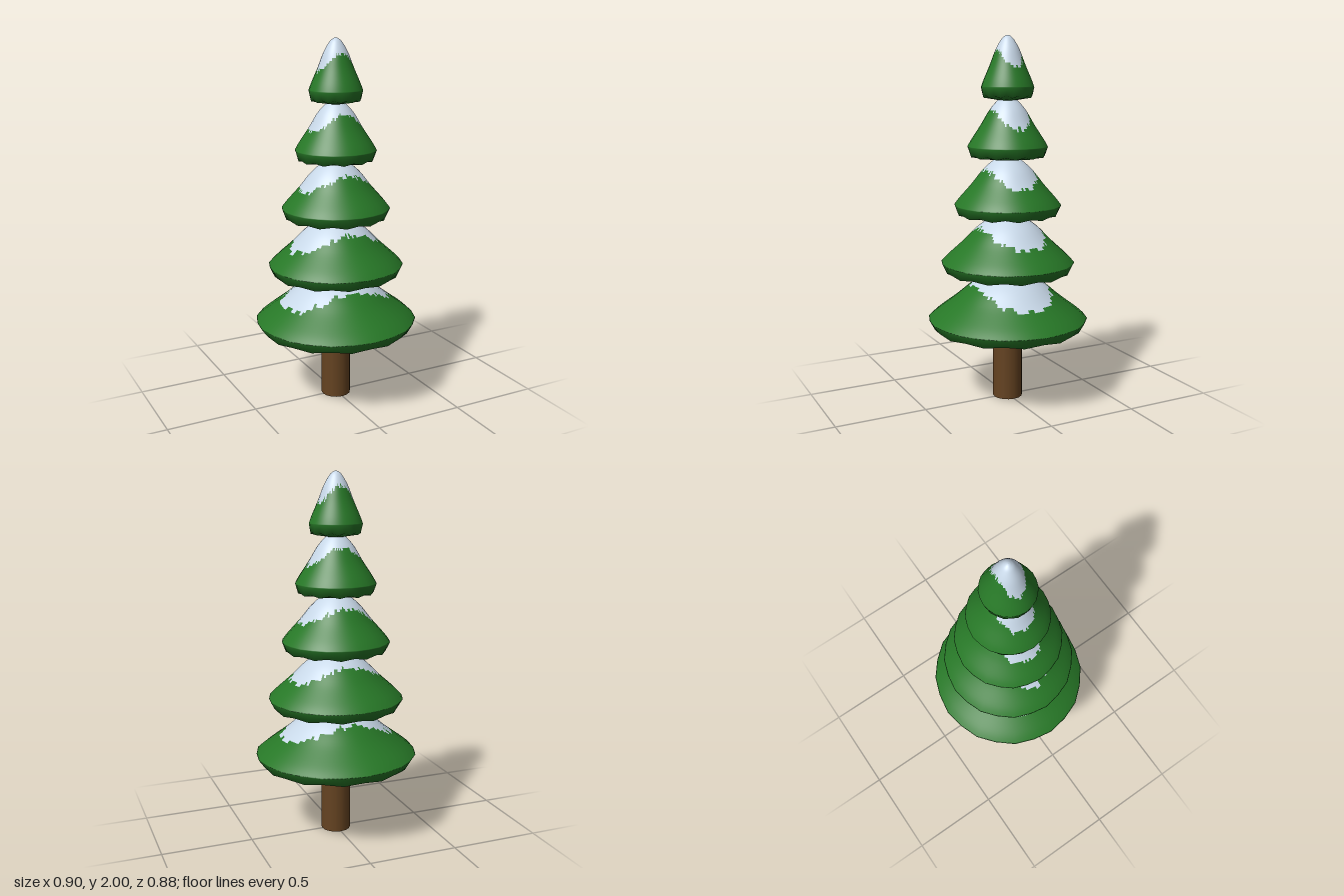
import * as THREE from 'three';

const SIDES = 24;          // facets around each tier
const SPLIT = 5;           // columns per facet, for the ragged snow edge
const COLS = SIDES * SPLIT;

// Unit profile of one tier (radius, height): shallow cone underneath, domed on top
const dome = new THREE.SplineCurve([
  [1, 0.22], [0.9, 0.33], [0.67, 0.55], [0.45, 0.78], [0.24, 0.93], [0.1, 0.985], [0, 1],
].map(([r, y]) => new THREE.Vector2(r, y)));
const underside = [[0, 0], [0.5, 0.035], [0.93, 0.08]].map(([r, y]) => new THREE.Vector2(r, y));
const profile = [...underside, ...dome.getPoints(36)];

function seeded(seed) {
  let s = seed;
  return () => (s = (s * 16807) % 2147483647) / 2147483647;
}

// One tier: round grid for smooth normals, then pulled in to a slightly uneven 24-gon
function tierGeometry(radius, base, height, rand) {
  const positions = [];
  for (const p of profile) {
    for (let i = 0; i < COLS; i++) {
      const a = (i / COLS) * Math.PI * 2;
      positions.push(Math.cos(a) * p.x * radius, base + p.y * height, Math.sin(a) * p.x * radius * 0.98);
    }
  }

  // Snow lies over an oval with a ragged edge, reaching lowest on the left and right
  const green = [], snow = [];
  let ragged = 0;
  for (let i = 0; i < COLS; i++) {
    if (i % 2 === 0 || rand() < 0.3) ragged = (rand() - 0.5) * 0.07;
    const a = ((i + 0.5) / COLS) * Math.PI * 2;
    const edge = ragged + Math.pow(
      Math.pow(Math.abs(Math.cos(a)) / 0.7, 2.4) + Math.pow(Math.abs(Math.sin(a)) / 0.45, 2.4), -1 / 2.4);
    for (let j = 0; j < profile.length - 1; j++) {
      const next = (i + 1) % COLS;
      const p = j * COLS + i, q = j * COLS + next;
      const mid = (profile[j].x + profile[j + 1].x) / 2;
      const list = j >= underside.length && mid < edge ? snow : green;
      list.push(p, p + COLS, q, q, p + COLS, q + COLS);
    }
  }

  const geo = new THREE.BufferGeometry();
  geo.setAttribute('position', new THREE.Float32BufferAttribute(positions, 3));
  geo.setIndex([...green, ...snow]);
  geo.addGroup(0, green.length, 0);
  geo.addGroup(green.length, snow.length, 1);
  geo.computeVertexNormals();

  // Straight facets between corners, with a faint wave along the lower rim
  const pos = geo.attributes.position;
  const half = Math.PI / SIDES;
  for (let k = 0; k < pos.count; k++) {
    const i = k % COLS, j = Math.floor(k / COLS);
    const t = (i % SPLIT) / SPLIT;
    const chord = Math.cos(half) / Math.cos((t - 0.5) * 2 * half);
    const corner = Math.floor(i / SPLIT);
    const wave = corner % 2 === 0 ? 1 - 2 * t : 2 * t - 1;
    const s = chord * (1 + 0.005 * (wave - 1));
    const lift = j === 2 ? wave * 0.006 : 0;
    pos.setXYZ(k, pos.getX(k) * s, pos.getY(k) + lift, pos.getZ(k) * s);
  }
  return geo;
}

export function createModel() {
  const tree = new THREE.Group();
  tree.name = 'snowyTree';

  const foliage = new THREE.MeshStandardMaterial({ color: 0x277827 });
  foliage.name = 'foliage green';
  const snow = new THREE.MeshStandardMaterial({ color: 0xc8d8e8 });
  snow.name = 'snow';
  const bark = new THREE.MeshStandardMaterial({ color: 0x654321 });
  bark.name = 'bark brown';

  // Trunk
  const trunk = new THREE.Mesh(new THREE.CylinderGeometry(0.082, 0.082, 0.42, 16), bark);
  trunk.name = 'trunk';
  trunk.position.y = 0.21;
  tree.add(trunk);

  // Five tiers of branches, shrinking towards the tip
  const rand = seeded(4711);
  for (let n = 0; n < 5; n++) {
    const geo = tierGeometry(0.45 - 0.0762 * n, 0.38 + 0.3175 * n, 0.35, rand);
    const tier = new THREE.Mesh(geo, [foliage, snow]);
    tier.name = `branchTier${n + 1}`;
    tree.add(tier);
  }
  return tree;
}
